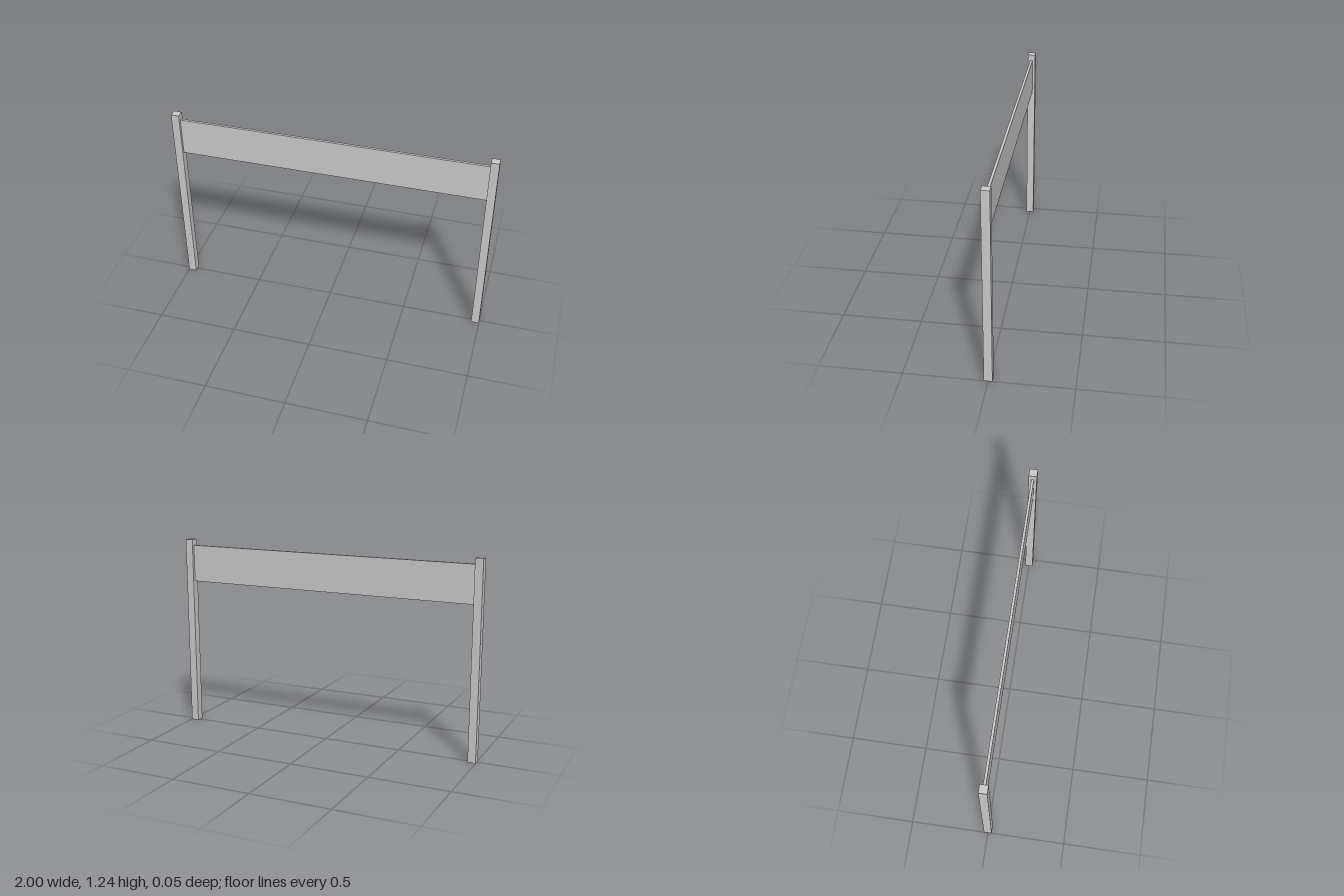
import * as THREE from 'three';

export function createModel() {
  const group = new THREE.Group();
  const material = new THREE.MeshStandardMaterial({ color: 0xcccccc, flatShading: true });

  const addBox = (name, width, height, depth, x, bottom) => {
    const mesh = new THREE.Mesh(new THREE.BoxGeometry(width, height, depth), material);
    mesh.name = name;
    mesh.position.set(x, bottom + height / 2, 0);
    group.add(mesh);
  };

  const postSize = 0.05;
  const postX = 1 - postSize / 2;

  // Square posts at both ends
  addBox('leftPost', postSize, 1.235, postSize, postX, 0);
  addBox('rightPost', postSize, 1.235, postSize, -postX, 0);

  // Thin board spanning between the posts
  addBox('board', 2 - 2 * postSize, 0.237, 0.016, 0, 0.96);

  return group;
}
